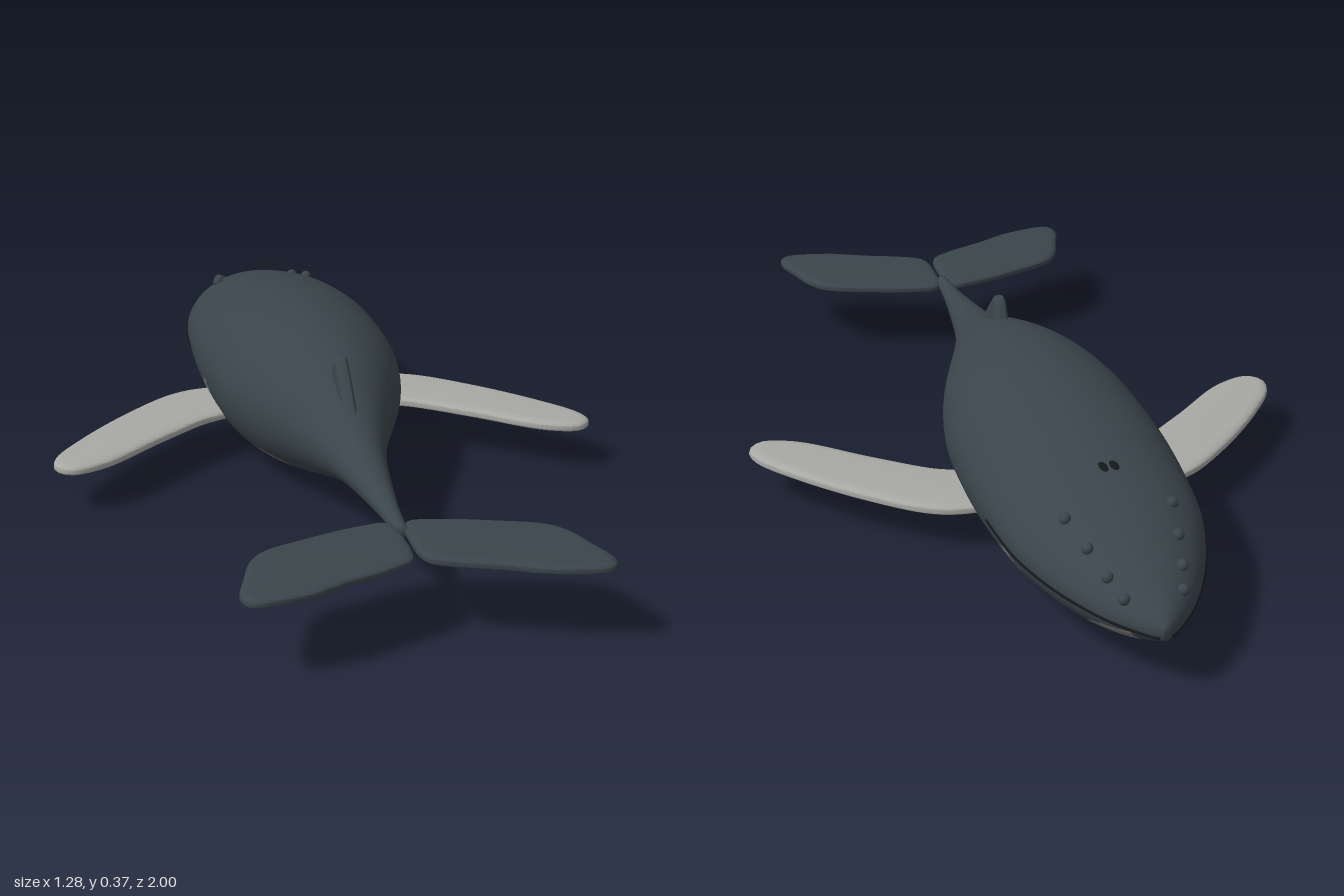
import * as THREE from 'three';
import { toCreasedNormals } from 'three/addons/utils/BufferGeometryUtils.js';

const paint = (color) => new THREE.MeshStandardMaterial({ color });
const SKIN = paint(0x3a454b);
const PALE = paint(0xa8a8a4);
const BELLY = paint(0x7d7a76);
const DARK = paint(0x14181a);

// Body stations from snout to tail: z, top y, bottom y, half width
const STATIONS = [
  [-1, 0.168, 0.138, 0.008], [-0.97, 0.19, 0.12, 0.043], [-0.9, 0.222, 0.09, 0.1],
  [-0.8, 0.262, 0.064, 0.155], [-0.7, 0.292, 0.05, 0.193], [-0.6, 0.317, 0.037, 0.215],
  [-0.4, 0.354, 0.014, 0.23], [-0.2, 0.37, 0.004, 0.226], [-0.1, 0.37, 0.008, 0.214],
  [0, 0.362, 0.026, 0.19], [0.1, 0.342, 0.053, 0.155], [0.2, 0.31, 0.085, 0.116],
  [0.3, 0.272, 0.116, 0.08], [0.4, 0.241, 0.139, 0.054], [0.6, 0.208, 0.16, 0.025],
  [0.73, 0.196, 0.166, 0.014],
];
const spine = (k) => new THREE.CatmullRomCurve3(
  STATIONS.map((s) => new THREE.Vector3(s[3], s[k], s[0])), false, 'catmullrom', 0.5);
const topCurve = spine(1), bottomCurve = spine(2);

// Ellipse of the body at curve parameter t
function section(t) {
  const a = topCurve.getPoint(t), b = bottomCurve.getPoint(t);
  return { z: a.z, w: Math.max(a.x, 0.004), c: (a.y + b.y) / 2, h: (a.y - b.y) / 2 };
}

// Ellipse of the body at a given z, found by bisection
function sectionAt(z) {
  let lo = 0, hi = 1;
  for (let i = 0; i < 30; i++) {
    const mid = (lo + hi) / 2;
    if (topCurve.getPoint(mid).z < z) lo = mid; else hi = mid;
  }
  return section(lo);
}

// Irregular pale blotches along the underside
function isBlotch(x, y, z, s) {
  if (z < -0.95 || z > 0.07) return false;
  const height = (y - s.c) / s.h;
  const wave = 0.22 * Math.sin(11 * z + 5 * x) + 0.14 * Math.sin(27 * z - 9 * x + 1);
  const islands = Math.sin(13 * z + 1.2) * Math.cos(17 * x + 4 * z) + 0.3 * Math.sin(41 * z + 23 * x);
  return height < -0.5 + wave - Math.max(0, z + 0.1) * 1.5 && islands < 0.5;
}

// Lofted body; its faces are shared out between dark skin and belly blotches
function addBody(group) {
  const rows = 130, cols = 96, pos = [], skin = [], belly = [];
  for (let i = 0; i <= rows; i++) {
    const s = section(i / rows);
    for (let j = 0; j < cols; j++) {
      const a = (j / cols) * Math.PI * 2;
      pos.push(s.w * Math.cos(a), s.c + s.h * Math.sin(a), s.z);
    }
  }
  for (let i = 0; i < rows; i++) {
    const s = section((i + 0.5) / rows);
    for (let j = 0; j < cols; j++) {
      const a = ((j + 0.5) / cols) * Math.PI * 2, k = (j + 1) % cols;
      const p = i * cols + j, q = i * cols + k;
      const pale = isBlotch(s.w * Math.cos(a), s.c + s.h * Math.sin(a), s.z, s);
      (pale ? belly : skin).push(p, q, p + cols, q, q + cols, p + cols);
    }
  }
  // End caps
  for (let j = 1; j < cols - 1; j++) {
    const e = rows * cols;
    skin.push(0, j + 1, j, e, e + j, e + j + 1);
  }
  const whole = new THREE.BufferGeometry();
  whole.setAttribute('position', new THREE.Float32BufferAttribute(pos, 3));
  whole.setIndex([...skin, ...belly]);
  whole.computeVertexNormals();
  for (const [name, index, mat] of [['body', skin, SKIN], ['bellyBlotches', belly, BELLY]]) {
    const part = whole.clone();
    part.setIndex(index);
    add(group, name, part, mat);
  }
}

function add(group, name, geometry, material) {
  const mesh = new THREE.Mesh(geometry, material);
  mesh.name = name;
  group.add(mesh);
  return mesh;
}

// Thin fin with rounded-off edges, centred on its own plane
function finGeometry(points, thickness, bevel) {
  const outline = new THREE.CatmullRomCurve3(
    points.map(([x, y]) => new THREE.Vector3(x, y, 0)), true, 'centripetal');
  const shape = new THREE.Shape(outline.getSpacedPoints(72).slice(0, -1).map((p) => new THREE.Vector2(p.x, p.y)));
  const core = thickness * 0.2, round = thickness * 0.4;
  const geo = new THREE.ExtrudeGeometry(shape, {
    depth: core, bevelThickness: round, bevelSize: bevel, bevelOffset: -bevel, bevelSegments: 5,
  });
  geo.translate(0, 0, -core / 2);
  return toCreasedNormals(geo, 0.8);
}

const FLIPPER = [
  [0.17, -0.335], [0.24, -0.342], [0.31, -0.318], [0.43, -0.22], [0.56, -0.08], [0.63, 0.02],
  [0.637, 0.07], [0.605, 0.1], [0.525, 0.078], [0.375, -0.045], [0.26, -0.135], [0.17, -0.19],
];
const FLUKE = [
  [0.02, 0.69], [0.085, 0.693], [0.2, 0.727], [0.3, 0.768], [0.335, 0.81], [0.36, 0.88], [0.382, 0.96],
  [0.365, 0.993], [0.25, 0.98], [0.16, 0.94], [0.06, 0.9], [0.015, 0.87], [0.004, 0.78],
];
const DORSAL = [
  [0.32, 0.245], [0.27, 0.3], [0.22, 0.35], [0.19, 0.373], [0.17, 0.362], [0.155, 0.335],
  [0.143, 0.31], [0.2, 0.26],
];

export function createModel() {
  const model = new THREE.Group();
  model.name = 'whale';
  addBody(model);

  for (const side of [1, -1]) {
    const label = side > 0 ? 'left' : 'right';
    const mirror = (pts) => pts.map(([x, z]) => [x * side, z]);

    // Flippers and tail flukes lie flat
    const flipper = finGeometry(mirror(FLIPPER), 0.026, 0.026).rotateX(Math.PI / 2);
    add(model, label + 'Flipper', flipper, PALE).position.y = 0.11;
    const fluke = finGeometry(mirror(FLUKE), 0.023, 0.022).rotateX(Math.PI / 2);
    add(model, label + 'Fluke', fluke, SKIN).position.y = 0.181;

    // Mouth line hugging the side of the head
    const line = [];
    for (let i = 0; i <= 24; i++) {
      const f = i / 24, z = -0.995 + 0.505 * f, s = sectionAt(z);
      const y = 0.142 + 0.027 * f;
      const reach = Math.sqrt(Math.max(0, 1 - ((y - s.c) / s.h) ** 2));
      line.push(new THREE.Vector3(side * s.w * reach, y, z));
    }
    add(model, label + 'MouthLine',
      new THREE.TubeGeometry(new THREE.CatmullRomCurve3(line), 60, 0.0035, 6), DARK);

    // Head knobs
    for (const [x, z] of [[0.063, -0.92], [0.08, -0.865], [0.098, -0.79], [0.117, -0.7]]) {
      const s = sectionAt(z);
      const y = s.c + s.h * Math.sqrt(1 - (x / s.w) ** 2);
      add(model, label + 'HeadKnob', new THREE.SphereGeometry(0.013, 14, 10), SKIN)
        .position.set(side * x, y + 0.003, z);
    }

    // Blowhole slit
    const slit = add(model, label + 'Blowhole', new THREE.SphereGeometry(1, 14, 10), DARK);
    slit.scale.set(0.009, 0.004, 0.021);
    slit.position.set(side * 0.012, 0.338, -0.63);
  }

  // Dorsal fin stands upright along the back
  add(model, 'dorsalFin', finGeometry(DORSAL, 0.032, 0.02).rotateY(-Math.PI / 2), SKIN);
  return model;
}
